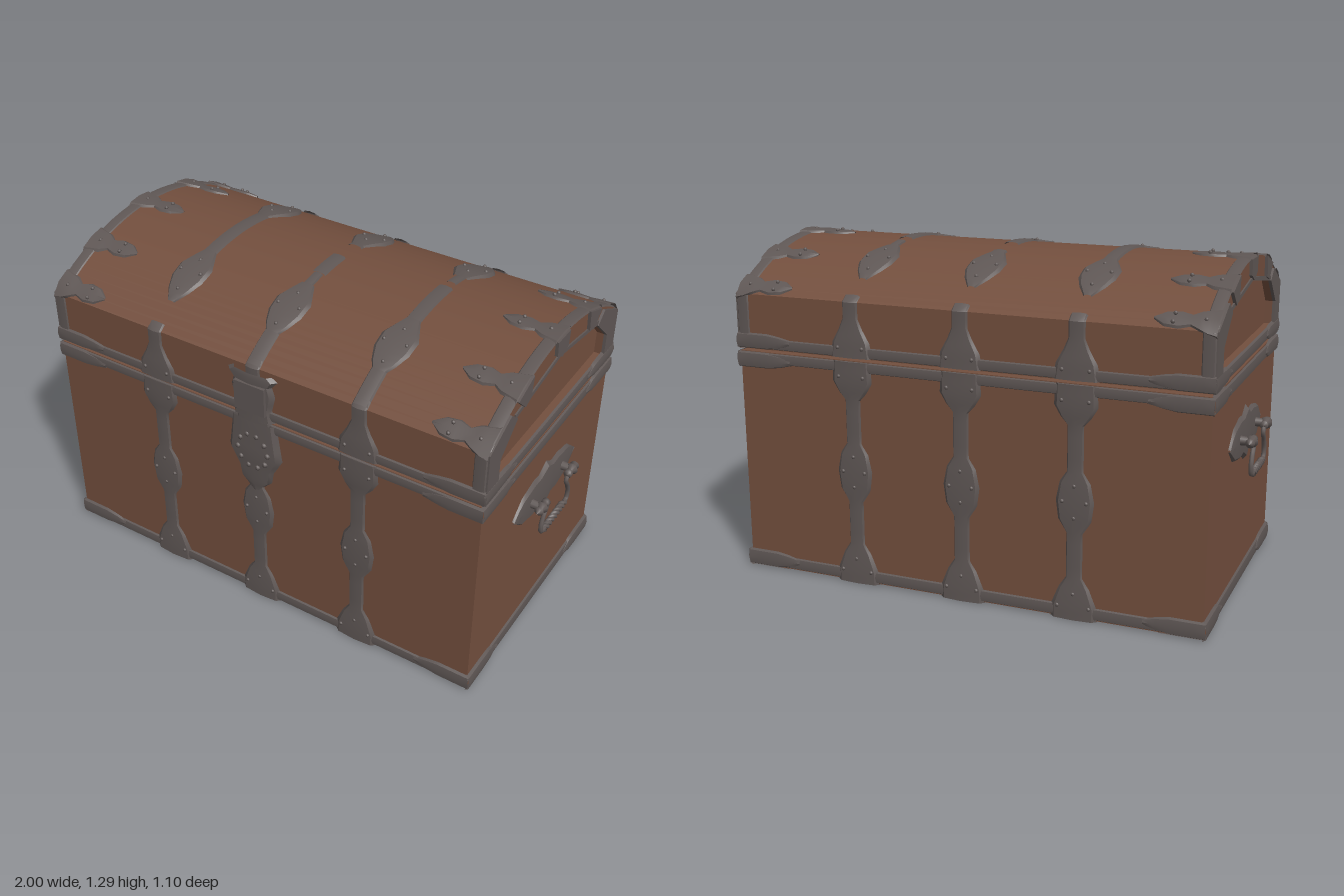
import * as THREE from 'three';
import { toCreasedNormals } from 'three/addons/utils/BufferGeometryUtils.js';

const wood = new THREE.MeshStandardMaterial({ color: 0x734f3e });
wood.name = 'brown wood';
const iron = new THREE.MeshStandardMaterial({ color: 0x5f5755, side: THREE.DoubleSide });
iron.name = 'dark iron';

// Chest section: a circular lid arc above straight walls
const X = 0.92, Z = 0.525, SPRING = 1.1, R = 0.896, CY = 1.27 - R;
const HALF = R * Math.asin(Z / R);
const sY = y => HALF + SPRING - y;          // distance along the section for a wall height
const sZ = z => R * Math.asin(z / R);       // the same for a depth on the arc

// Point on the wrapped surface: x across, s along the section from the crown, h outwards
function wrap(x, s, h) {
  const side = Math.sign(s), d = Math.abs(s);
  if (d > HALF) return [x, SPRING + HALF - d, side * (Z + h)];
  const a = s / R;
  return [x, CY + (R + h) * Math.cos(a), (R + h) * Math.sin(a)];
}
const down = (s, x, h) => wrap(x, s, h);
const end = (z, y, h) => [X + h, y, z];

function add(parent, name, geometry, material, pos = [0, 0, 0]) {
  const mesh = new THREE.Mesh(geometry, material);
  mesh.name = name;
  mesh.position.set(...pos);
  parent.add(mesh);
  return mesh;
}

// Raised fitting following a surface; rows are [distance along, half width]
function fitting(parent, name, map, centre, rows, lift = 0.006) {
  const pts = [], idx = [];
  const across = [[-1, -0.2], [-0.8, 0.8], [0, 1.15], [0.8, 0.8], [1, -0.2]];
  const fine = [rows[0]];
  for (let i = 1; i < rows.length; i++) {
    const [a, w] = rows[i - 1], [b, v] = rows[i];
    const n = Math.max(1, Math.ceil(Math.abs(b - a) / 0.05));
    for (let k = 1; k <= n; k++) fine.push([a + (b - a) * k / n, w + (v - w) * k / n]);
  }
  fine.forEach(([t, w], i) => {
    for (const [k, h] of across) pts.push(...map(t, centre + k * w, h * (lift + 0.1 * w)));
    if (i) for (let j = 0; j < 4; j++) {
      const a = (i - 1) * 5 + j, b = a + 5;
      idx.push(a, b, a + 1, b, b + 1, a + 1);
    }
  });
  const g = new THREE.BufferGeometry();
  g.setAttribute('position', new THREE.Float32BufferAttribute(pts, 3));
  g.setIndex(idx);
  return add(parent, name, toCreasedNormals(g, 0.6), iron);
}

function rivets(parent, map, centre, spots) {
  for (const [t, o] of spots)
    add(parent, 'rivet', new THREE.SphereGeometry(0.008, 6, 4), iron, map(t, centre + o, 0.012));
}

const outline = points => new THREE.Shape(points.map(p => new THREE.Vector2(...p)));
function extrudeX(shape, depth) {
  const g = new THREE.ExtrudeGeometry(shape, { depth, bevelEnabled: false });
  return toCreasedNormals(g.rotateY(Math.PI / 2), 0.4);
}

function lidShape() {
  const p = [[-Z, 0.89], [Z, 0.89]];
  for (let i = 0; i <= 32; i++) {
    const [, y, z] = wrap(0, HALF * (1 - i / 16) * 0.99999, 0);
    p.push([z, y]);
  }
  return outline(p);
}

function buildStraps(g) {
  const body = [[0, 0.09], [0.05, 0.09], [0.12, 0.06], [0.16, 0.032], [0.33, 0.032], [0.38, 0.065],
    [0.45, 0.075], [0.52, 0.06], [0.56, 0.032], [0.73, 0.032], [0.76, 0.06], [0.8, 0.085], [0.878, 0.08]];
  const foot = [[0.893, 0.09], [0.95, 0.08], [1, 0.05], [1.04, 0.032], [1.1, 0.032]];
  const leaf = [[0.17, 0.03], [0.21, 0.05], [0.26, 0.075], [0.32, 0.072], [0.37, 0.05], [0.42, 0.015]];
  // Visible pieces of the strap over the lid, as depths and half width
  const pieces = {
    '-0.44': [[-0.2, 0.2, 0.03]],
    '0': [[-0.04, 0.1, 0.03], [0.1, 0.2, 0.02], [0.4, 0.52, 0.032], [-0.2, -0.15, 0.03]],
    '0.44': [[-0.06, 0.2, 0.03], [-0.2, -0.1, 0.02], [0.4, 0.52, 0.032]],
  };
  for (const x of [-0.44, 0, 0.44]) {
    for (const f of [1, -1]) {
      fitting(g, 'bodyStrap', down, x, body.map(([y, w]) => [f * sY(y), w]));
      fitting(g, 'lidStrapFoot', down, x, foot.map(([y, w]) => [f * sY(y), w]));
      fitting(g, 'lidMedallion', down, x, leaf.map(([z, w]) => [f * sZ(z), w]));
      fitting(g, 'lidStrapShoulder', down, x, [[f * sY(1.1), 0.032], [f * sZ(0.5), 0.032]]);
      const spots = [[0.39, 0], [0.45, 0.045], [0.45, -0.045], [0.51, 0], [0.05, 0.06], [0.05, -0.06],
        [0.1, 0], [0.82, 0.05], [0.82, -0.05], [0.93, 0.05], [0.93, -0.05]];
      rivets(g, down, x, spots.map(([y, o]) => [f * sY(y), o]));
      rivets(g, down, x, [[0.23, 0], [0.29, 0.045], [0.29, -0.045], [0.37, 0]].map(([z, o]) => [f * sZ(z), o]));
    }
    for (const [a, b, w] of pieces[x]) fitting(g, 'lidStrap', down, x, [[sZ(a), w], [sZ(b), w]]);
  }
}

function buildEdges(g) {
  const tab = [[0.7, 0.004], [0.74, 0.035], [0.79, 0.042], [0.83, 0.028], [0.86, 0.05], [0.925, 0.068]];
  const corner = w => [[0.7, 0.012], [0.75, w * 0.75], [0.8, w], [0.928, w]];
  for (const f of [1, -1]) {
    // Horizontal bands along the front and back
    for (const [y, w] of [[0.03, 0.024], [0.857, 0.021], [0.913, 0.021]])
      fitting(g, 'edgeBand', wrap, f * sY(y), [[-0.928, w], [0.928, w]]);
    // Corner and lid edge fittings
    const mirrored = (x, s, h) => wrap(f * x, s, h);
    for (const q of [1, -1]) for (const [y, w] of [[0.036, 0.034], [0.847, 0.032], [0.921, 0.031]])
      fitting(g, 'cornerPlate', mirrored, q * sY(y), corner(w), 0.009);
    for (const z of [-0.49, -0.29, 0, 0.29, 0.49]) {
      fitting(g, 'lidTab', mirrored, sZ(z), tab);
      rivets(g, mirrored, sZ(z), [[0.77, 0.02], [0.77, -0.02], [0.88, 0]]);
    }
    fitting(g, 'lidEdgeStrip', down, f * 0.9, [[-sY(0.9), 0.025], [sY(0.9), 0.025]], 0.003);
    // Triangular plates under the corners
    for (const q of [1, -1]) {
      const t = outline([[0, 0], [-f * 0.17, 0], [-f * 0.07, -q * 0.07], [0, -q * 0.17]]);
      add(g, 'undersideCorner', new THREE.ShapeGeometry(t).rotateX(Math.PI / 2), iron, [f * X, 0.001, q * Z]);
    }
  }
}

function buildLock(g) {
  const upper = [[0.885, 0.09], [0.93, 0.08], [1, 0.098], [1.04, 0.085], [1.07, 0.11], [1.085, 0.085]];
  const lower = [[0.55, 0.015], [0.6, 0.07], [0.65, 0.08], [0.72, 0.122], [0.8, 0.11], [0.875, 0.1]];
  fitting(g, 'hasp', down, 0, upper.map(([y, w]) => [sY(y), w]), 0.012);
  fitting(g, 'lockPlate', down, 0, lower.map(([y, w]) => [sY(y), w]), 0.012);
  add(g, 'haspBoss', new THREE.BoxGeometry(0.13, 0.12, 0.02), iron, [0, 0.98, Z + 0.02]);
  for (let i = 0; i < 10; i++) {
    const a = i * Math.PI / 5;
    add(g, 'lockRivet', new THREE.SphereGeometry(0.012, 6, 4), iron,
      [0.065 * Math.cos(a), 0.74 + 0.075 * Math.sin(a), Z + 0.02]);
  }
}

function buildHandle(g) {
  fitting(g, 'handlePlate', end, 0.615, [[-0.26, 0.004], [-0.19, 0.065], [-0.1, 0.085], [-0.05, 0.08],
    [0, 0.112], [0.05, 0.08], [0.1, 0.085], [0.19, 0.065], [0.26, 0.004]], 0.008);
  const bail = [];
  for (const q of [-1, 1]) {
    add(g, 'handleStem', new THREE.CylinderGeometry(0.014, 0.02, 0.06, 10).rotateZ(-Math.PI / 2), iron, [0.945, 0.62, q * 0.13]);
    // Turned pivot lying along the end wall
    const profile = [[0, -0.045], [0.016, -0.04], [0.016, -0.025], [0.01, -0.018], [0.024, 0], [0.012, 0.015],
      [0.018, 0.027], [0.008, 0.036], [0, 0.045]].map(p => new THREE.Vector2(...p));
    add(g, 'handlePivot', new THREE.LatheGeometry(profile, 10).rotateX(q * Math.PI / 2), iron, [0.976, 0.62, q * 0.13]);
    const arm = [[0.62, 0.1], [0.595, 0.085], [0.56, 0.105], [0.52, 0.118], [0.49, 0.11], [0.485, 0.08]]
      .map(([y, z]) => new THREE.Vector3(0.976, y, q * z));
    bail.push(...(q < 0 ? arm : arm.reverse()));
  }
  add(g, 'handleBail', new THREE.TubeGeometry(new THREE.CatmullRomCurve3(bail), 60, 0.009, 8), iron);
  // Twisted grip
  for (const phase of [0, Math.PI]) {
    const twist = Array.from({ length: 41 }, (_, i) => {
      const a = phase + i * Math.PI / 5;
      return new THREE.Vector3(0.976 + 0.007 * Math.cos(a), 0.485 + 0.007 * Math.sin(a), -0.09 + i * 0.0045);
    });
    add(g, 'handleGrip', new THREE.TubeGeometry(new THREE.CatmullRomCurve3(twist), 80, 0.008, 6), iron);
  }
}

function buildEnd() {
  const g = new THREE.Group();
  g.name = 'chestEnd';
  // Rim around the recessed lid panel
  const rim = lidShape();
  rim.holes.push(outline([[-0.44, 0.94], [-0.44, 1.03], [-0.34, 1.13], [0, 1.185], [0.34, 1.13], [0.44, 1.03], [0.44, 0.94]]));
  add(g, 'lidRim', extrudeX(rim, 0.03), wood, [0.89, 0, 0]);
  for (const q of [1, -1]) {
    const plate = (name, pts, depth) =>
      add(g, name, extrudeX(outline(pts.map(([z, y]) => [q * z, y])), depth), iron, [X - 0.002, 0, 0]);
    plate('lidPost', [[0.525, 0.89], [0.525, 1.1], [0.38, 1.172], [0.33, 1.13], [0.44, 1.03], [0.44, 0.89]], 0.012);
    plate('archTrim', [[0, 1.185], [0, 1.2], [0.34, 1.147], [0.34, 1.13]], 0.008);
    plate('archTab', [[0.23, 1.243], [0.34, 1.2], [0.28, 1.145], [0.24, 1.16]], 0.014);
    // Horizontal bands with pointed corner plates
    for (const [y, w] of [[0.036, 0.034], [0.85, 0.03], [0.919, 0.028]]) {
      if (q > 0) fitting(g, 'endBand', end, y, [[-0.53, w * 0.85], [0.53, w * 0.85]]);
      fitting(g, 'endCornerPlate', end, y, [[0.3, 0.008], [0.36, w], [0.42, w * 1.1], [0.532, w * 1.1]].map(([z, v]) => [q * z, v]), 0.01);
    }
  }
  add(g, 'crownTab', extrudeX(outline([[-0.05, 1.269], [0.05, 1.269], [0.045, 1.21], [0, 1.187], [-0.045, 1.21]]), 0.014), iron, [X - 0.002, 0, 0]);
  buildHandle(g);
  return g;
}

export function createModel() {
  const chest = new THREE.Group();
  chest.name = 'treasureChest';
  add(chest, 'body', new THREE.BoxGeometry(2 * X, 0.876, 2 * Z), wood, [0, 0.442, 0]);
  add(chest, 'lid', extrudeX(lidShape(), 1.78), wood, [-0.89, 0, 0]);
  buildStraps(chest);
  buildEdges(chest);
  buildLock(chest);
  const left = buildEnd(), right = buildEnd();
  right.rotation.y = Math.PI;
  chest.add(left, right);
  return chest;
}
